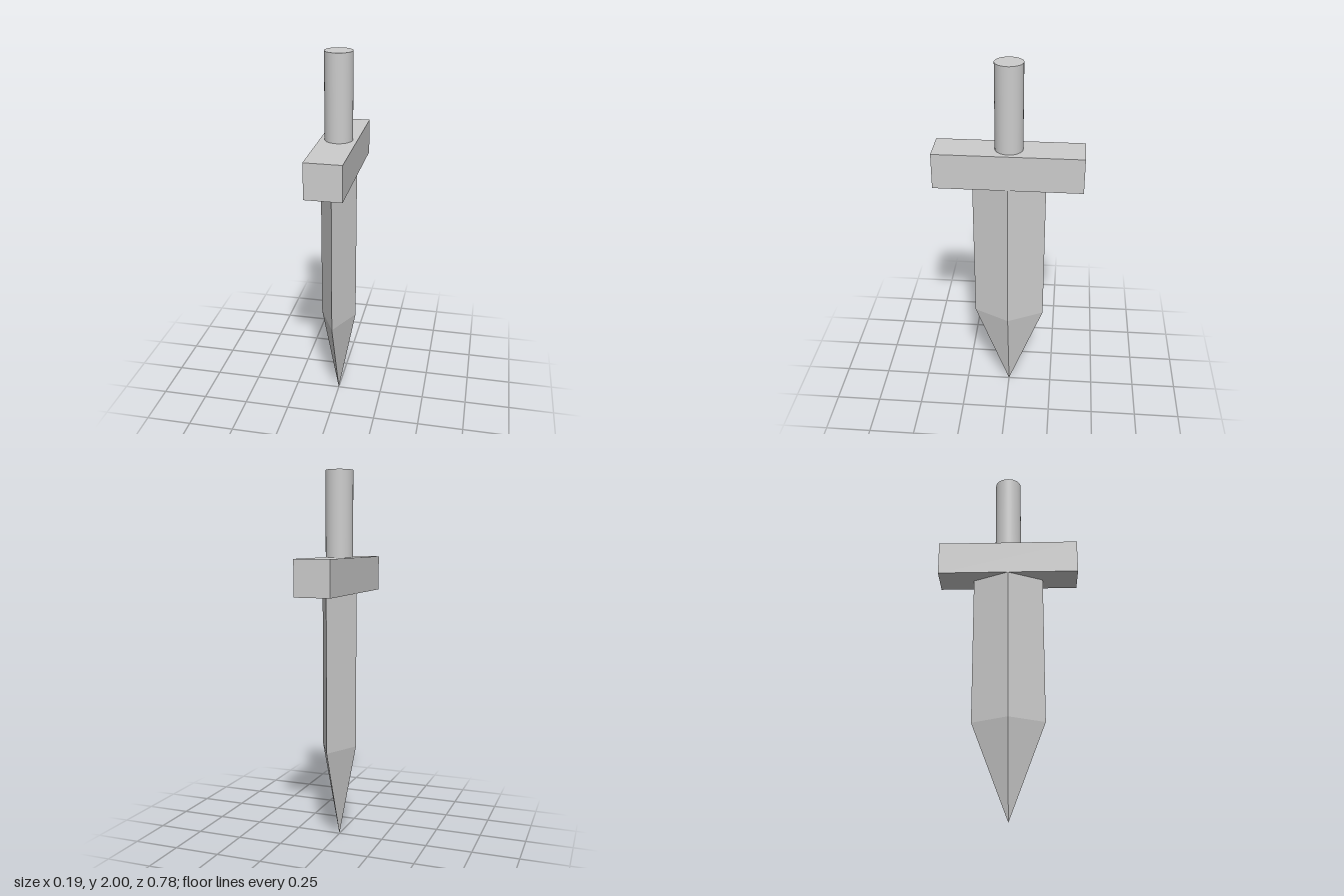
import * as THREE from 'three';

const HALF_WIDTH = 0.097;
const GUARD_BOTTOM = 1.355, GUARD_TOP = 1.545, TOP = 2;

export function createModel() {
  const group = new THREE.Group();
  const smooth = new THREE.MeshStandardMaterial({ color: 0xcccccc });
  const flat = new THREE.MeshStandardMaterial({ color: 0xcccccc, flatShading: true });

  const add = (name, geometry, material, y = 0) => {
    const mesh = new THREE.Mesh(geometry, material);
    mesh.name = name;
    mesh.position.y = y;
    group.add(mesh);
  };

  // Blade: four-sided diamond section, straight above the shoulder, tapering to a point
  const profile = [[0, 0], [1, 0.515], [1, GUARD_BOTTOM]].map(([r, y]) => new THREE.Vector2(r, y));
  const blade = new THREE.LatheGeometry(profile, 4);
  blade.scale(HALF_WIDTH, 1, HALF_WIDTH * 2);
  add('blade', blade, flat);

  // Crossguard: long bar running front to back
  const guardHeight = GUARD_TOP - GUARD_BOTTOM;
  add('crossguard', new THREE.BoxGeometry(HALF_WIDTH * 2, guardHeight, HALF_WIDTH * 8), flat,
    GUARD_BOTTOM + guardHeight / 2);

  // Handle: plain round grip
  const handleLength = TOP - GUARD_TOP;
  add('handle', new THREE.CylinderGeometry(0.073, 0.073, handleLength, 32), smooth,
    GUARD_TOP + handleLength / 2);

  return group;
}
